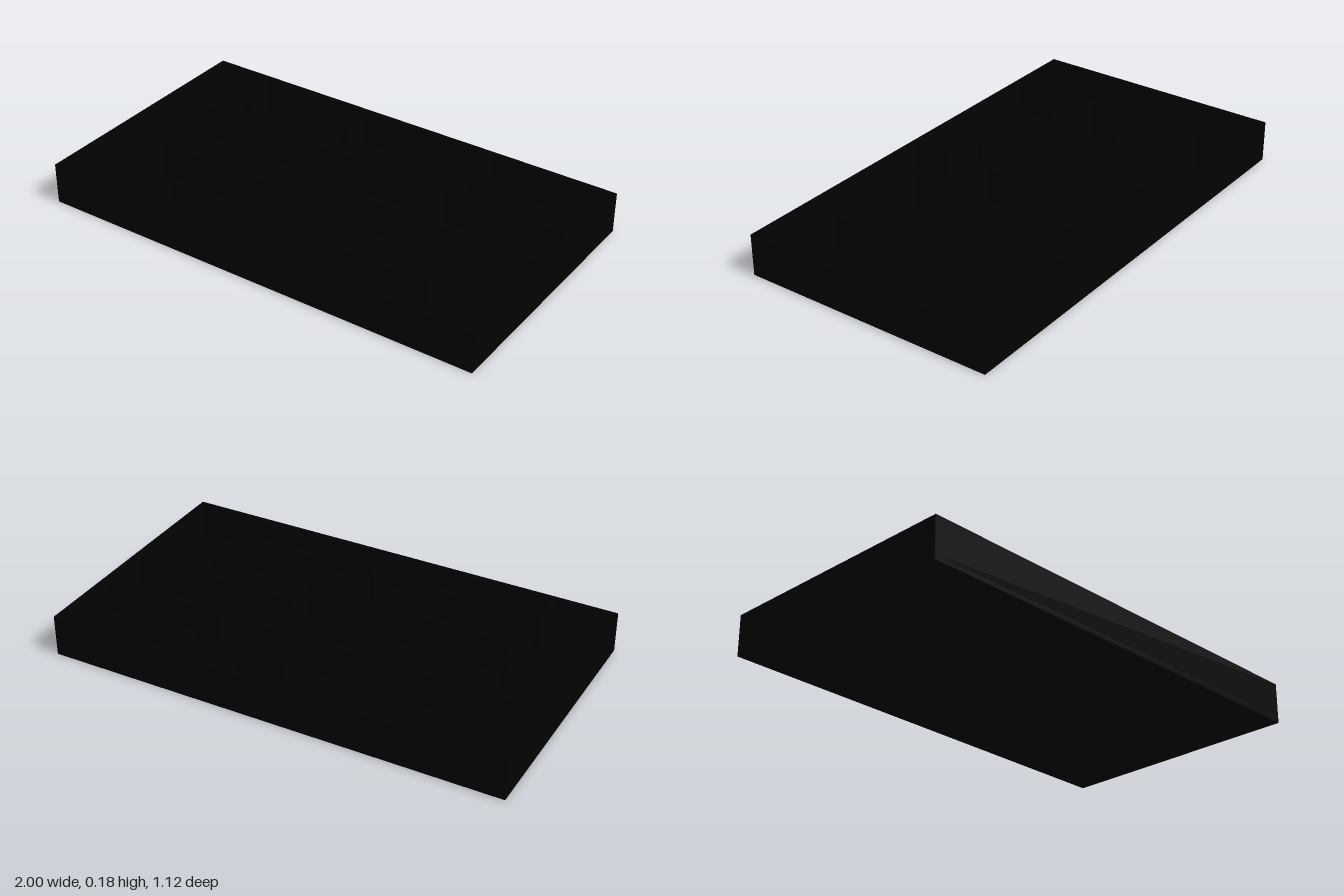
import * as THREE from 'three';

const W = 2, D = 1.12, H = 0.18; // overall size
const RIM = 0.025, FLOOR = 0.02, WALL = 0.022;

export function createModel() {
  const group = new THREE.Group();
  const material = new THREE.MeshStandardMaterial({ color: 0x020202 });

  // Box given by its extents in x, y and z
  function box(name, x0, x1, y0, y1, z0, z1) {
    const mesh = new THREE.Mesh(new THREE.BoxGeometry(x1 - x0, y1 - y0, z1 - z0), material);
    mesh.position.set((x0 + x1) / 2, (y0 + y1) / 2, (z0 + z1) / 2);
    mesh.name = name;
    group.add(mesh);
  }

  // Floor of the tray
  box('floor', -W / 2, W / 2, 0, FLOOR, -D / 2, D / 2);

  // Outer rim
  const x = W / 2, z = D / 2;
  box('frontRim', -x, x, FLOOR, H, z - RIM, z);
  box('backRim', -x, x, FLOOR, H, -z, -z + RIM);
  box('leftRim', x - RIM, x, FLOOR, H, -z + RIM, z - RIM);
  box('rightRim', -x, -x + RIM, FLOOR, H, -z + RIM, z - RIM);

  // Maze walls running across the width: [z, x from, x to]
  const across = [
    [-0.39, 0.03, 0.23], [-0.39, 0.44, 0.69],
    [-0.2, -0.98, 0.23], [-0.2, 0.44, 0.98],
    [0.03, -0.2, 0.03], [0.03, 0.23, 0.98],
    [0.16, -0.73, -0.2], [0.16, 0.03, 0.23],
    [0.38, -0.5, -0.2], [0.38, 0.23, 0.69],
  ];
  // Maze walls running front to back: [x, z from, z to]
  const along = [
    [-0.73, -0.54, -0.4], [-0.2, -0.54, -0.39], [0.44, -0.54, -0.39],
    [0.23, -0.39, -0.2],
    [-0.73, 0.03, 0.16], [-0.2, 0.03, 0.16], [0.03, 0.03, 0.16],
    [0.23, 0.03, 0.38], [0.69, 0.18, 0.38],
    [-0.73, 0.38, 0.54], [0.03, 0.38, 0.54],
  ];
  const t = WALL / 2;
  for (const [pz, a, b] of across) box('mazeWallAcross', a - t, b + t, FLOOR, H, pz - t, pz + t);
  for (const [px, a, b] of along) box('mazeWallAlong', px - t, px + t, FLOOR, H, a - t, b + t);

  return group;
}
